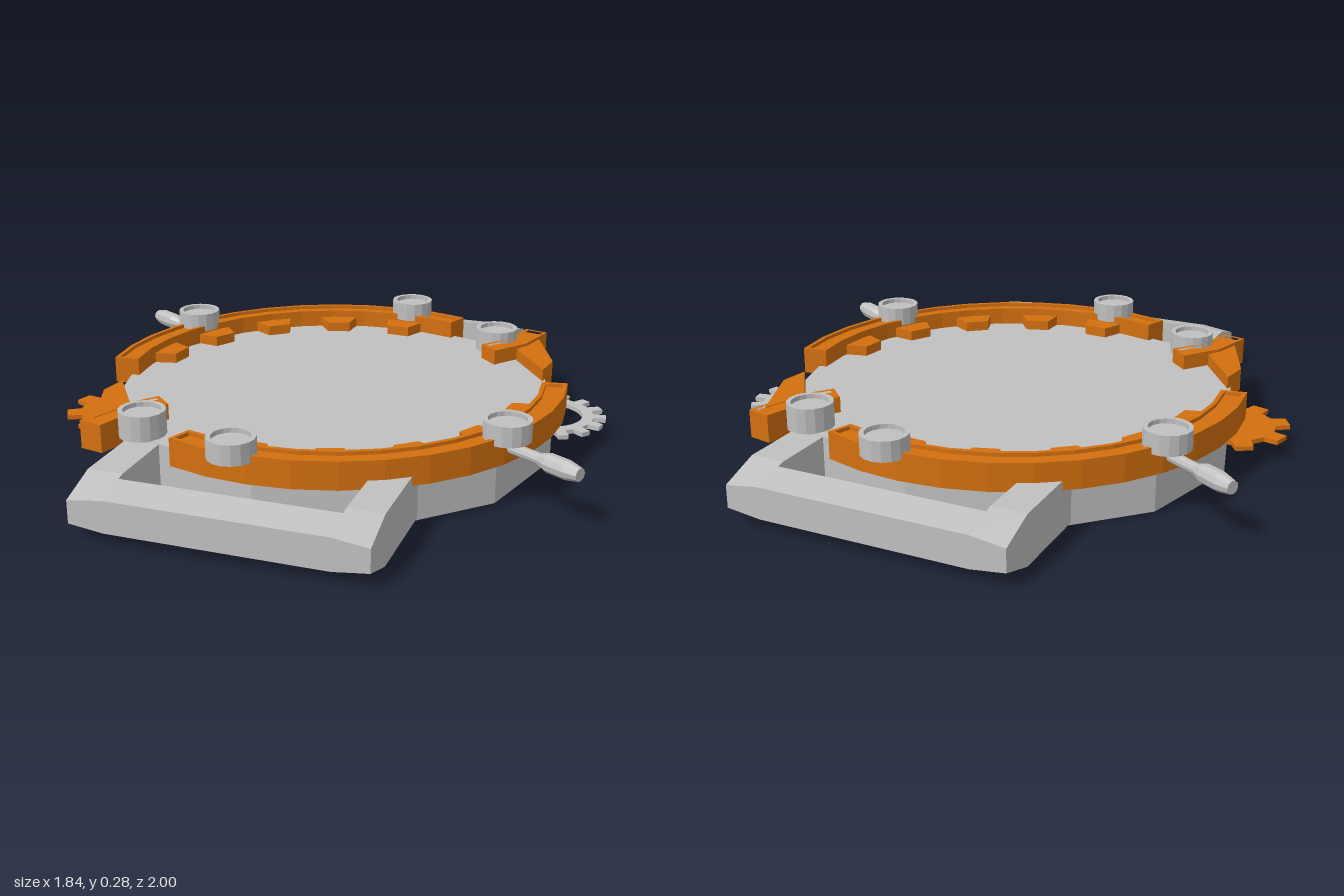
import * as THREE from 'three';

const grey = new THREE.MeshStandardMaterial({ color: 0xc0c0c0 });
grey.name = 'light grey';
const orange = new THREE.MeshStandardMaterial({ color: 0xd4700f });
orange.name = 'orange';

// Faceted mesh with flat normals
function part(name, geometry, material) {
  const g = geometry.index ? geometry.toNonIndexed() : geometry;
  g.computeVertexNormals();
  const mesh = new THREE.Mesh(g, material);
  mesh.name = name;
  return mesh;
}

const toVectors = pts => pts.map(p => new THREE.Vector2(p[0], p[1]));

// Plan outline (x, -z) raised from y0 to y1, with an optional hole
function slab(pts, y0, y1, hole) {
  const shape = new THREE.Shape(toVectors(pts));
  if (hole) shape.holes.push(new THREE.Path(toVectors(hole)));
  const g = new THREE.ExtrudeGeometry(shape, { depth: y1 - y0, bevelEnabled: false });
  return g.rotateX(-Math.PI / 2).translate(0, y0, 0);
}

const polar = (r, deg) => {
  const a = deg * Math.PI / 180;
  return [r * Math.cos(a), r * Math.sin(a)];
};

function arcOutline(r0, r1, from, to, n) {
  const outer = [], inner = [];
  for (let i = 0; i <= n; i++) {
    const a = from + (to - from) * i / n;
    outer.push(polar(r1, a));
    inner.unshift(polar(r0, a));
  }
  return outer.concat(inner);
}

// Solid piece with a shallow recess bordered by a thin rim
function rimmed(name, outline, inset, y0, y1) {
  const group = new THREE.Group();
  group.name = name;
  group.add(part(name + 'Body', slab(outline, y0, y1 - 0.012), orange));
  group.add(part(name + 'Rim', slab(outline, y1 - 0.012, y1, inset), orange));
  return group;
}

function gearOutline(root, tip, teeth, phase, baseWidth, tipWidth) {
  const pts = [], step = 360 / teeth;
  for (let i = 0; i < teeth; i++) {
    const a = phase + i * step;
    pts.push(polar(root, a - baseWidth * step), polar(tip, a - tipWidth * step),
      polar(tip, a + tipWidth * step), polar(root, a + baseWidth * step));
  }
  return pts;
}

function button(x, up, y0, y1) {
  const h = y1 - y0;
  const profile = [[0, 0], [0.075, 0], [0.075, h], [0.06, h], [0.06, h - 0.015], [0, h - 0.015]];
  const mesh = part('button', new THREE.LatheGeometry(toVectors(profile), 16), grey);
  mesh.position.set(x, y0, -up);
  return mesh;
}

// Everything that appears twice, half a turn apart
function halfRing() {
  const half = new THREE.Group();
  half.name = 'halfRing';
  half.add(rimmed('ringArc', arcOutline(0.692, 0.776, 70, 189.5, 12),
    arcOutline(0.706, 0.762, 71, 188.5, 12), 0.14, 0.23));

  // inward teeth
  for (let i = 0; i < 5; i++) {
    const a = 86.5 + i * 21.4;
    const pts = [polar(0.71, a - 6), polar(0.71, a + 6), polar(0.618, a + 3.8), polar(0.618, a - 3.8)];
    half.add(part('ringTooth', slab(pts, 0.14, 0.205), orange));
  }

  // claw and its wedge
  half.add(rimmed('claw',
    [[0.515, 0.69], [0.595, 0.673], [0.55, 0.52], [0.46, 0.402], [0.4, 0.458], [0.475, 0.55]],
    [[0.527, 0.676], [0.581, 0.663], [0.537, 0.526], [0.459, 0.423], [0.418, 0.458], [0.488, 0.543]],
    0.13, 0.222));
  half.add(part('clawWedge',
    slab([[0.578, 0.615], [0.67, 0.385], [0.655, 0.285], [0.525, 0.475]], 0.135, 0.212), orange));

  // buttons
  half.add(button(0.055, 0.752, 0.21, 0.275));
  half.add(button(-0.668, 0.358, 0.21, 0.275));
  half.add(button(0.425, 0.588, 0.165, 0.25));

  // peg
  const profile = [[0, 0], [0.018, 0], [0.018, 0.13], [0.023, 0.145], [0.03, 0.165],
    [0.03, 0.235], [0.021, 0.28], [0, 0.28]];
  const peg = part('peg', new THREE.LatheGeometry(toVectors(profile), 10), grey);
  peg.position.set(-0.668, 0.187, -0.358);
  peg.quaternion.setFromUnitVectors(new THREE.Vector3(0, 1, 0),
    new THREE.Vector3(-0.24, 0, -0.14).normalize());
  half.add(peg);
  return half;
}

// Side profile (z, y) extruded across x
function bar(name, profile, x0, x1) {
  const g = new THREE.ExtrudeGeometry(new THREE.Shape(toVectors(profile)),
    { depth: x1 - x0, bevelEnabled: false });
  g.rotateY(-Math.PI / 2).translate(x1, 0, 0);
  // pinch the outer corners of the tip
  const p = g.attributes.position;
  for (let i = 0; i < p.count; i++) {
    if (Math.abs(p.getX(i)) > 0.4 && p.getZ(i) > 0.95) {
      p.setY(i, p.getY(i) > 0.09 ? 0.125 : 0.052);
    }
  }
  return part(name, g, grey);
}

function handle() {
  const group = new THREE.Group();
  group.name = 'handle';
  const side = [[0.45, 0.008], [0.87, 0.008], [1, 0.038], [1, 0.14], [0.87, 0.168], [0.45, 0.168]];
  const cross = [[0.895, 0.014], [1, 0.038], [1, 0.14], [0.895, 0.163]];
  group.add(bar('handleSide', side, 0.34, 0.452));
  group.add(bar('handleSide', side, -0.452, -0.34));
  group.add(bar('handleGrip', cross, -0.34, 0.34));
  return group;
}

export function createModel() {
  const model = new THREE.Group();
  model.name = 'gearedDisc';

  // twelve-sided base
  const base = part('base', new THREE.CylinderGeometry(0.742, 0.742, 0.17, 12), grey);
  base.position.set(0, 0.085, -0.012);
  model.add(base);

  for (let i = 0; i < 2; i++) {
    const half = halfRing();
    half.position.z = -0.012;
    half.rotation.y = i * Math.PI;
    const grip = handle();
    grip.rotation.y = i * Math.PI;
    model.add(half, grip);
  }

  // thin cogs tucked into the sides of the base
  const hole = [];
  for (let i = 0; i < 30; i++) hole.push(polar(0.122, i * 12));
  const greyCog = part('ringCog',
    slab(gearOutline(0.16, 0.2, 15, 9, 0.27, 0.2), 0.063, 0.078, hole), grey);
  greyCog.position.set(0.685, 0, -0.238);
  const orangeCog = part('solidCog',
    slab(gearOutline(0.148, 0.195, 8, 165, 0.28, 0.19), 0.063, 0.078), orange);
  orangeCog.position.set(-0.695, 0, 0.2);
  model.add(greyCog, orangeCog);
  return model;
}
